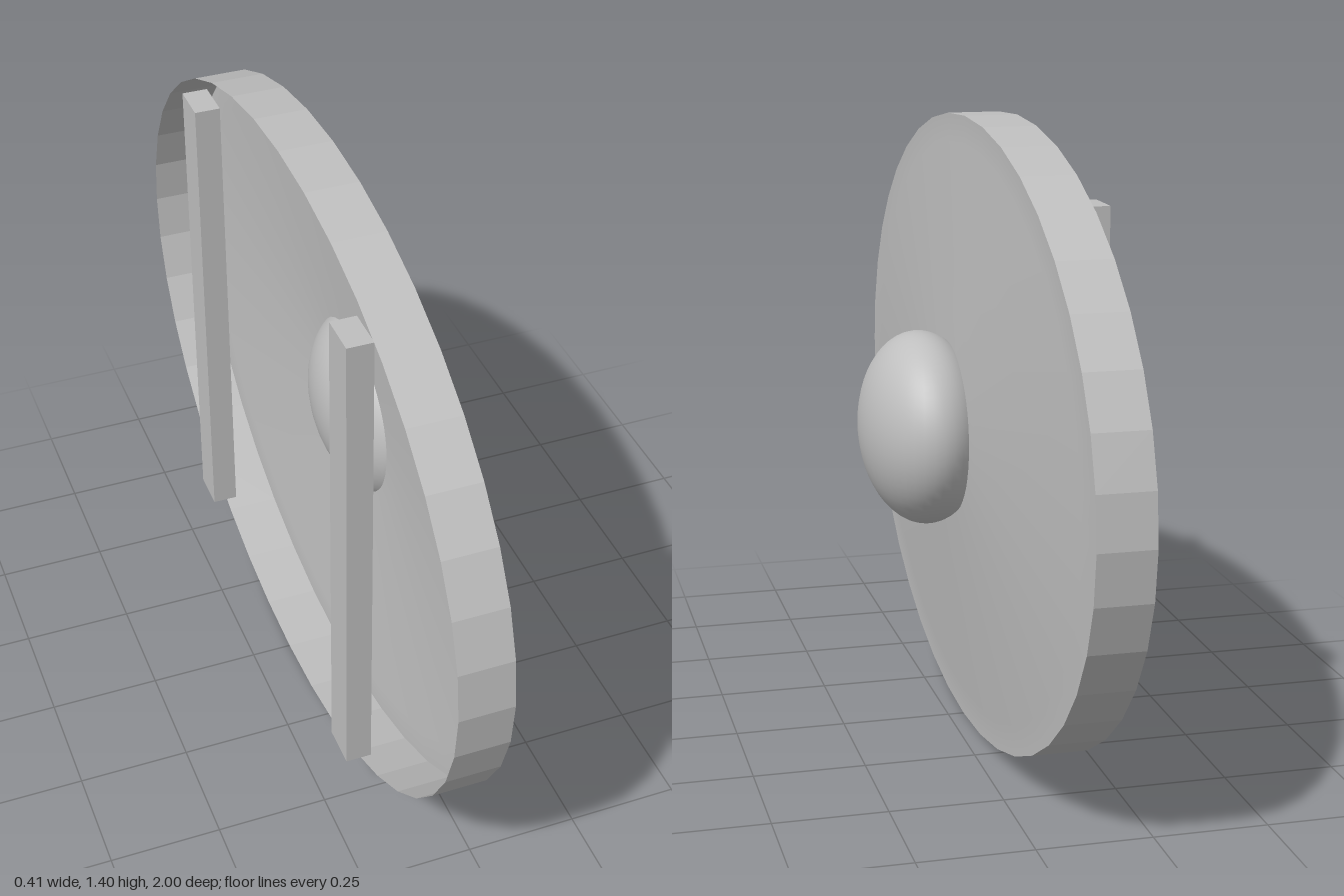
import * as THREE from 'three';

const SEGMENTS = 40;
const HALF_HEIGHT = 0.7;

// Revolve a [radius, x] profile about the x axis and squash it into an oval
function ovalLathe(profile) {
  const points = profile.map(([r, x]) => new THREE.Vector2(r, x));
  const geometry = new THREE.LatheGeometry(points, SEGMENTS);
  geometry.rotateZ(-Math.PI / 2);
  geometry.scale(1, HALF_HEIGHT, 1);
  return geometry;
}

export function createModel() {
  const group = new THREE.Group();
  group.name = 'ovalShield';
  const grey = new THREE.MeshStandardMaterial({ color: 0xbfbfbf, side: THREE.DoubleSide });
  grey.name = 'grey';

  const add = (name, geometry, x, y, z) => {
    const mesh = new THREE.Mesh(geometry, grey);
    mesh.name = name;
    mesh.position.set(x, y, z);
    group.add(mesh);
    return mesh;
  };

  // Faceted open rim
  const rim = ovalLathe([[1, -0.157], [1, -0.037]]).toNonIndexed();
  rim.computeVertexNormals();
  add('rim', rim, 0, HALF_HEIGHT, 0);

  // Shallow sheet that rises toward the middle, open behind
  const face = ovalLathe([[1, -0.037], [0.91, -0.037], [0.26, 0.005], [0, 0.009]]);
  add('face', face, 0, HALF_HEIGHT, 0);

  // Rounded boss pushed through the face
  const boss = new THREE.SphereGeometry(1, 40, 28);
  boss.scale(0.14, 0.218, 0.236);
  add('boss', boss, 0.063, HALF_HEIGHT + 0.002, 0);

  // Two upright battens across the open back
  for (const side of [-1, 1]) {
    const batten = new THREE.BoxGeometry(0.058, 1.135, 0.095);
    add(side > 0 ? 'frontBatten' : 'backBatten', batten, -0.177, 0.702, side * 0.478);
  }

  return group;
}
